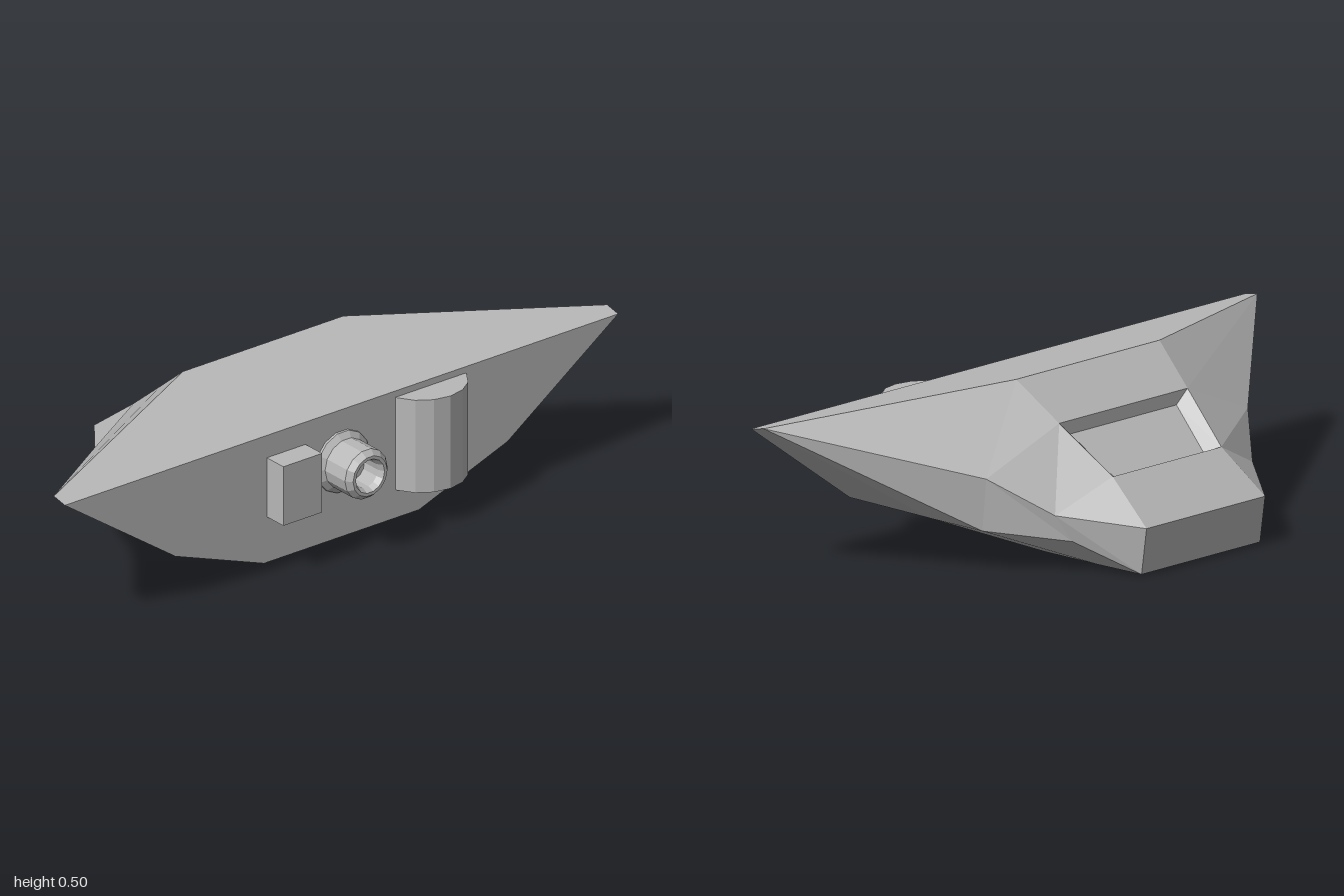
import * as THREE from 'three';

const grey = new THREE.MeshStandardMaterial({ color: 0xb8b8b8, flatShading: true, side: THREE.DoubleSide });
grey.name = 'hull grey';

// Corner points of the +z half
const P = {
  noseTop: [-0.475, 0.145, 0.24],
  noseLow: [-0.455, 0.007, 0.24],
  winFront: [-0.322, 0.264, 0.22],
  winBack: [-0.15, 0.395, 0.26],
  floorFront: [-0.295, 0.245, 0.18],
  floorBack: [-0.15, 0.355, 0.215],
  roof: [-0.01, 0.503, 0.29],
  tip: [0.295, 0.44, 1],
  tipRear: [0.345, 0.43, 1],
  shoulder1: [-0.27, 0.175, 0.4],
  shoulder2: [-0.125, 0.28, 0.53],
  chine1: [-0.3, 0.097, 0.36],
  chine2: [-0.11, 0.125, 0.53],
  chine3: [0.03, 0.15, 0.6],
  chineRear: [0.345, 0.15, 0.6],
  keel1: [-0.28, 0.003, 0.24],
  keel2: [-0.1, 0.012, 0.27],
  keelRear: [0.345, 0.032, 0.28],
};

// Closed loop of strips that span the hull from side to side
const loop = ['noseTop', 'winFront', 'floorFront', 'floorBack', 'winBack', 'roof', 'tip', 'tipRear',
  'chineRear', 'keelRear', 'keel2', 'keel1', 'noseLow', 'noseTop'];

// Side facets of the +z half, mirrored to the other side
const sides = [
  ['noseTop', 'shoulder1', 'winFront'],
  ['winFront', 'shoulder1', 'shoulder2', 'winBack'],
  ['winBack', 'shoulder2', 'tip', 'roof'],
  ['noseTop', 'noseLow', 'chine1', 'shoulder1'],
  ['shoulder1', 'chine1', 'chine2', 'shoulder2'],
  ['shoulder2', 'chine2', 'chine3', 'tip'],
  ['chine3', 'chineRear', 'tipRear', 'tip'],
  ['noseLow', 'keel1', 'chine1'],
  ['chine1', 'keel1', 'keel2', 'chine2'],
  ['chine2', 'keel2', 'keelRear', 'chineRear', 'chine3'],
  ['winFront', 'winBack', 'floorBack', 'floorFront'],
];

const mirror = ([x, y, z]) => [x, y, -z];

function hullGeometry() {
  const pos = [];
  const face = (pts) => {
    for (let i = 1; i < pts.length - 1; i++) pos.push(...pts[0], ...pts[i], ...pts[i + 1]);
  };
  for (let i = 0; i < loop.length - 1; i++) {
    const a = P[loop[i]], b = P[loop[i + 1]];
    face([mirror(a), a, b, mirror(b)]);
  }
  for (const names of sides) {
    const pts = names.map((n) => P[n]);
    face(pts);
    face(pts.map(mirror).reverse());
  }
  const g = new THREE.BufferGeometry();
  g.setAttribute('position', new THREE.Float32BufferAttribute(pos, 3));
  g.computeVertexNormals();
  return g;
}

export function createModel() {
  const model = new THREE.Group();
  const add = (name, geometry, x, y, z) => {
    const mesh = new THREE.Mesh(geometry, grey);
    mesh.name = name;
    mesh.position.set(x, y, z);
    model.add(mesh);
    return mesh;
  };

  // Faceted hull with the sunken window
  add('hull', hullGeometry(), 0, 0, 0);

  // Square block on the rear wall
  add('rearBlock', new THREE.BoxGeometry(0.085, 0.185, 0.14), 0.3775, 0.2675, 0.2);

  // Hollow nozzle with a flared foot and bevelled rim
  const profile = [[0.095, 0], [0.095, 0.008], [0.077, 0.022], [0.077, 0.112], [0.062, 0.13],
    [0.052, 0.13], [0.043, 0.11], [0.043, 0.05], [0, 0.05]];
  const nozzle = add('nozzle',
    new THREE.LatheGeometry(profile.map(([r, h]) => new THREE.Vector2(r, h)), 14), 0.345, 0.27, 0);
  nozzle.rotation.z = -Math.PI / 2;

  // Upright tank half sunk in the rear wall
  add('rearTank', new THREE.CylinderGeometry(0.135, 0.135, 0.29, 16), 0.3, 0.265, -0.322);

  return model;
}
